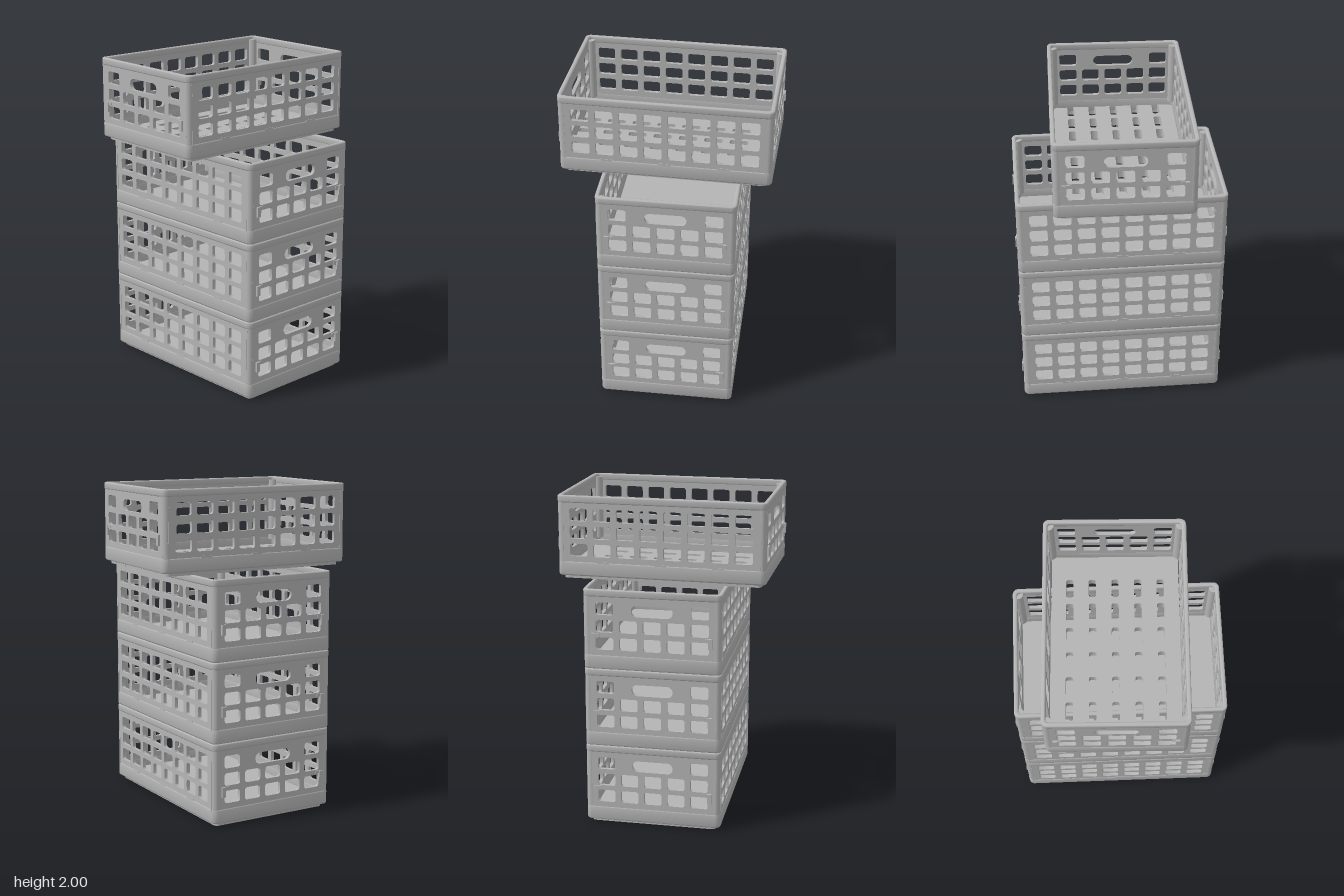
import * as THREE from 'three';
import { toCreasedNormals } from 'three/addons/utils/BufferGeometryUtils.js';

const L = 1.27, W = 0.836, H = 0.51, T = 0.022; // crate length, width, height, wall thickness
const plastic = new THREE.MeshStandardMaterial({ color: 0xb4b4b4 });
plastic.name = 'grey plastic';

function roundedRect(path, x, y, w, h, r) {
  const a = x - w / 2, b = x + w / 2, c = y - h / 2, d = y + h / 2;
  path.moveTo(a + r, c).lineTo(b - r, c).absarc(b - r, c + r, r, -Math.PI / 2, 0, false);
  path.lineTo(b, d - r).absarc(b - r, d - r, r, 0, Math.PI / 2, false);
  path.lineTo(a + r, d).absarc(a + r, d - r, r, Math.PI / 2, Math.PI, false);
  path.lineTo(a, c + r).absarc(a + r, c + r, r, Math.PI, Math.PI * 1.5, false);
  return path;
}
const hole = (x, y, w, h, r) => roundedRect(new THREE.Path(), x, y, w, h, r);

function extrude(shape, depth, bevel = 0) {
  const g = new THREE.ExtrudeGeometry(shape, {
    depth: depth - 2 * bevel, curveSegments: 5, bevelEnabled: bevel > 0,
    bevelSize: bevel, bevelThickness: bevel, bevelOffset: -bevel, bevelSegments: 3,
  });
  g.translate(0, 0, bevel);
  return toCreasedNormals(g, 0.6);
}

// Horizontal rounded plate or ring lying between y0 and y0 + height
function slab(w, d, r, y0, height, holes, bevel) {
  const s = roundedRect(new THREE.Shape(), 0, 0, w, d, r);
  s.holes.push(...holes);
  return extrude(s, height, bevel).rotateX(-Math.PI / 2).translate(0, y0, 0);
}

// Upright wall panel with a grid of windows, optionally with a hand grip
function panel(width, columns, grip) {
  const y0 = 0.09, y1 = 0.48;
  const s = roundedRect(new THREE.Shape(), 0, (y0 + y1) / 2, width, y1 - y0, 0.002);
  [0.18, 0.288, 0.395].forEach((y, row) => {
    for (let i = 0; i < columns; i++) {
      if (grip && row === 2 && i > 0 && i < columns - 1) continue;
      s.holes.push(hole((i - (columns - 1) / 2) * 0.1436, y, 0.108, 0.077, 0.015));
    }
  });
  if (grip) s.holes.push(hole(0, 0.387, 0.25, 0.07, 0.034));
  return extrude(s, T);
}

function floorHoles() {
  const list = [];
  for (let i = 0; i < 8; i++) for (let j = 0; j < 5; j++) {
    list.push(hole((i - 3.5) * 0.158, (j - 2) * 0.138, 0.115, 0.045, 0.014));
  }
  return list;
}

const longPanel = panel(L - 0.05, 8, false);
const shortPanel = panel(W - 0.05, 5, true);
const ringHole = () => [hole(0, 0, L - 2 * T - 0.008, W - 2 * T - 0.008, 0.02)];
const baseRing = slab(L, W, 0.035, 0.02, 0.09, ringHole(), 0.01);
const topRim = slab(L, W, 0.035, 0.465, 0.045, ringHole(), 0.008);
const solidFloor = slab(L - 0.06, W - 0.06, 0.025, 0, 0.055, [], 0);
const ventedFloor = slab(L - 0.06, W - 0.06, 0.025, 0, 0.055, floorHoles(), 0);
const post = new THREE.CylinderGeometry(0.03, 0.03, 0.4, 20).translate(0, 0.29, 0);
const rib = new THREE.BoxGeometry(0.008, 0.31, 0.006);
const latchBody = new THREE.BoxGeometry(0.016, 0.062, 0.026);
const latchArm = new THREE.BoxGeometry(0.012, 0.016, 0.04);
const baseTab = new THREE.BoxGeometry(0.07, 0.012, 0.008);

function createCrate(name, vented) {
  const crate = new THREE.Group();
  crate.name = name;
  const add = (geo, part, x = 0, y = 0, z = 0, ry = 0) => {
    const m = new THREE.Mesh(geo, plastic);
    m.name = part;
    m.position.set(x, y, z);
    m.rotation.y = ry;
    crate.add(m);
  };
  add(vented ? ventedFloor : solidFloor, 'floor');
  add(baseRing, 'baseRing');
  add(topRim, 'topRim');

  for (const s of [1, -1]) {
    // Folding walls, set back slightly from the base and rim
    add(longPanel, 'longWall', 0, 0, s * (W / 2 - T - 0.003), s > 0 ? 0 : Math.PI);
    add(shortPanel, 'shortWall', s * (L / 2 - T - 0.003), 0, 0, s * Math.PI / 2);
    for (const x of [-0.35, 0, 0.35]) add(baseTab, 'baseTab', x, 0.108, s * (W / 2 - 0.004));
    for (const t of [1, -1]) {
      add(post, 'cornerPost', s * (L / 2 - 0.032), 0, t * (W / 2 - 0.032));
      add(rib, 'wallSeam', s * (L / 2 - 0.035), 0.25, t * (W / 2 - 0.003));
      // Latches near the corners of the short walls
      add(latchBody, 'latch', s * (L / 2 + 0.001), 0.213, t * 0.352);
      add(latchArm, 'latchArm', s * (L / 2 - 0.003), 0.236, t * 0.335);
    }
  }
  return crate;
}

export function createModel() {
  const model = new THREE.Group();
  model.name = 'crateStack';

  // Three crates stacked in line
  ['bottomCrate', 'middleCrate', 'upperCrate'].forEach((name, i) => {
    const crate = createCrate(name, false);
    crate.position.set(-0.003, i * 0.49, -0.025);
    model.add(crate);
  });

  // Top crate laid crosswise, slightly askew
  const top = createCrate('topCrate', true);
  top.position.set(-0.02, 1.492, -0.002);
  top.rotation.y = -(Math.PI / 2 + 0.028);
  model.add(top);
  return model;
}
